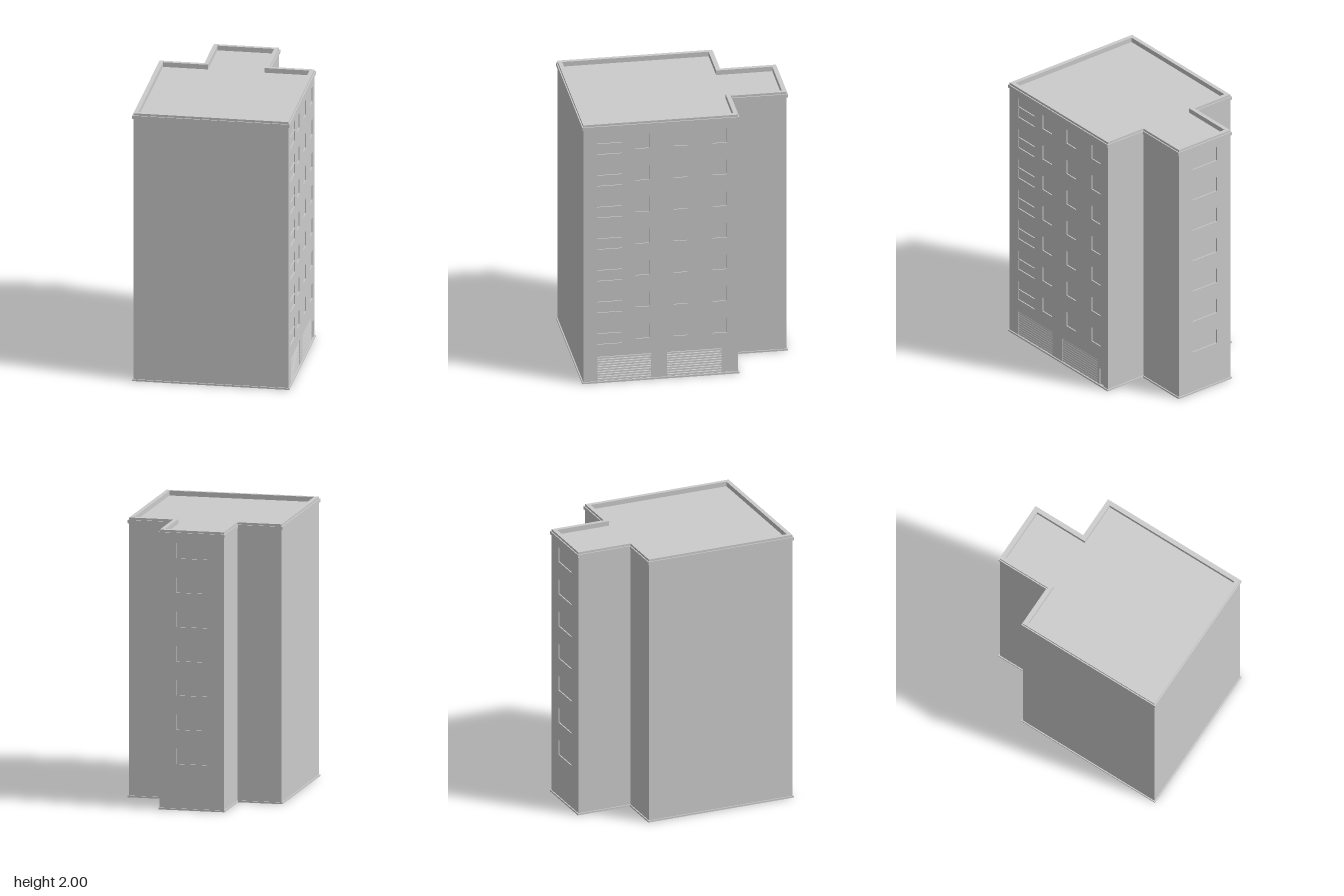
import * as THREE from 'three';

const WALL_X = 0.552, WING_X = 0.232, WALL_Z = 0.752, STEP_Z = 0.352;
const RECESS = 0.008, FLOORS = 7, FLOOR_H = 0.245;

// T-shaped plan, grown outward by d; optional insets for the right and back faces
function plan(d, insetRight = 0, insetBack = 0) {
  const x = WALL_X + d, w = WING_X + d, f = WALL_Z + d, s = STEP_Z + d, r = x - insetRight, b = f - insetBack;
  return [[-x, -f], [r, -f], [r, s], [w, s], [w, b], [-w, b], [-w, s], [-x, s]]
    .map(([px, py]) => new THREE.Vector2(px, py));
}

function slab(points, y0, y1, holePoints) {
  const shape = new THREE.Shape(points);
  if (holePoints) shape.holes.push(new THREE.Path(holePoints));
  const geo = new THREE.ExtrudeGeometry(shape, { depth: y1 - y0, bevelEnabled: false });
  return geo.rotateX(-Math.PI / 2).translate(0, y0, 0);
}

const rect = (u0, u1, v0, v1) => [[u0, v0], [u1, v0], [u1, v1], [u0, v1]]
  .map(([u, v]) => new THREE.Vector2(u, v));

// Thin facade sheet with openings cut through it
function facade(u0, u1, height, openings) {
  const shape = new THREE.Shape(rect(u0, u1, 0, height));
  for (const o of openings) shape.holes.push(new THREE.Path(rect(...o).reverse()));
  return new THREE.ExtrudeGeometry(shape, { depth: RECESS, bevelEnabled: false });
}

export function createModel() {
  const group = new THREE.Group();
  const grey = new THREE.MeshStandardMaterial({ color: 0xcccccc });
  grey.name = 'concrete grey';
  const add = (name, geo) => {
    const mesh = new THREE.Mesh(geo, grey);
    mesh.name = name;
    group.add(mesh);
    return mesh;
  };

  // Main body, topped by the roof deck
  const roofY = 1.965;
  add('buildingBody', slab(plan(0, RECESS, RECESS), 0, roofY));

  // Plinth, cornice and parapet follow the plan
  add('plinth', slab(plan(0.008), 0, 0.012));
  add('cornice', slab(plan(0.008), 1.96, 1.984, plan(-0.02)));
  add('parapet', slab(plan(0), 1.95, 2, plan(-0.03)));

  // Right facade: four window columns, two garage doors and a small door
  const garages = [[-0.65, -0.27], [-0.155, 0.235]];
  const sideOpenings = garages.map(([a, b]) => [a, b, 0.014, 0.2]);
  sideOpenings.push([0.26, 0.31, 0.014, 0.14]);
  const backOpenings = [];
  for (let i = 0; i < FLOORS; i++) {
    const y = i * FLOOR_H;
    // wide window with a transom bar
    sideOpenings.push([-0.655, -0.475, 0.295 + y, 0.37 + y], [-0.655, -0.475, 0.378 + y, 0.445 + y]);
    for (const u of [-0.38, -0.11, 0.17]) sideOpenings.push([u, u + 0.102, 0.32 + y, 0.432 + y]);
    backOpenings.push([-0.11, 0.11, 0.328 + y, 0.438 + y]);
  }
  const side = add('rightFacade', facade(-WALL_Z, STEP_Z, 1.97, sideOpenings));
  side.rotation.y = Math.PI / 2;
  side.position.x = WALL_X - RECESS;

  // Back facade: one column of stair windows
  const back = add('backFacade', facade(-WING_X, WING_X, 1.97, backOpenings));
  back.rotation.y = Math.PI;
  back.position.z = -(WALL_Z - RECESS);

  // Garage shutters with sloped slats
  const slats = 10, y0 = 0.014, pitch = 0.186 / slats;
  for (const [a, b] of garages) {
    const profile = [new THREE.Vector2(-0.002, y0)];
    for (let i = 0; i < slats; i++) {
      profile.push(new THREE.Vector2(0.006, y0 + i * pitch + 0.001));
      profile.push(new THREE.Vector2(0.005, y0 + i * pitch + pitch * 0.7));
      profile.push(new THREE.Vector2(0.001, y0 + (i + 1) * pitch));
    }
    profile.push(new THREE.Vector2(-0.002, y0 + slats * pitch));
    const geo = new THREE.ExtrudeGeometry(new THREE.Shape(profile), { depth: b - a, bevelEnabled: false });
    add('garageShutter', geo.translate(WALL_X - RECESS, 0, -b));
  }

  return group;
}
